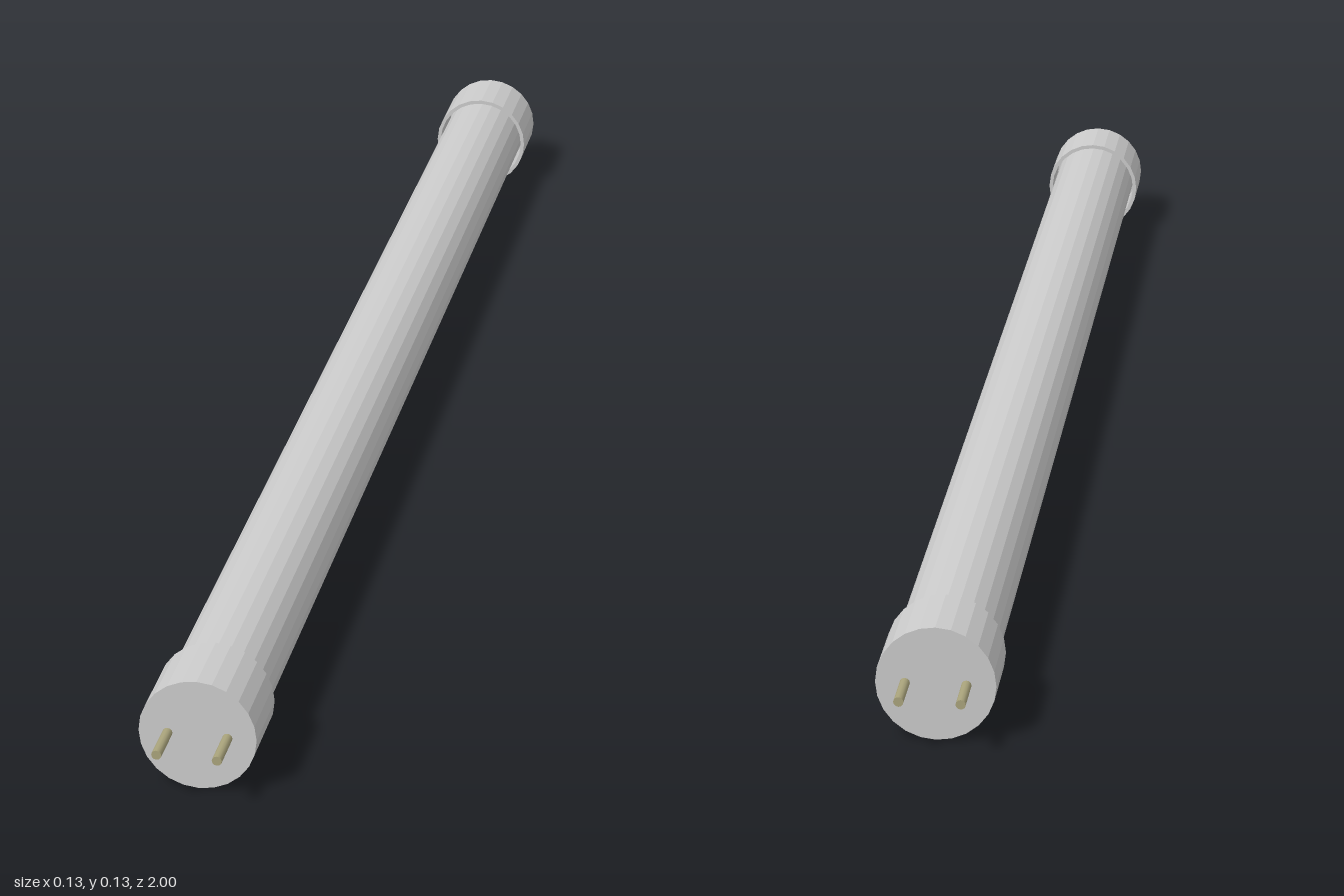
import * as THREE from 'three';

const SIDES = 24, AXIS_Y = 0.065;
const grey = new THREE.MeshStandardMaterial({ color: 0xcccccc, flatShading: true });
const brass = new THREE.MeshStandardMaterial({ color: 0xaaa47c });

function addMesh(parent, name, geometry, material) {
  const mesh = new THREE.Mesh(geometry, material);
  mesh.name = name;
  parent.add(mesh);
  return mesh;
}

// Hollow cap sleeve with a closed outer end and two contact pins, facing +z
function createEnd(name) {
  const end = new THREE.Group();
  end.name = name;
  const profile = [
    [0, 0.94], [0.06, 0.94], [0.06, 0.86], [0.065, 0.86], [0.065, 0.95], [0, 0.95],
  ].map(([r, h]) => new THREE.Vector2(r, h));
  addMesh(end, 'endCap', new THREE.LatheGeometry(profile, SIDES).rotateX(Math.PI / 2), grey);
  for (const side of [-1, 1]) {
    const pin = new THREE.CylinderGeometry(0.0055, 0.0055, 0.055, 12).rotateX(Math.PI / 2);
    addMesh(end, side > 0 ? 'leftPin' : 'rightPin', pin, brass).position.set(side * 0.033, 0, 0.9725);
  }
  return end;
}

export function createModel() {
  const model = new THREE.Group();
  model.name = 'tubeLamp';

  // Long tube, its ends tucked into the caps
  const tube = new THREE.CylinderGeometry(0.056, 0.056, 1.87, SIDES).rotateX(Math.PI / 2);
  addMesh(model, 'tube', tube, grey);

  // Matching ends at front and back
  const backEnd = createEnd('backEnd');
  backEnd.rotation.y = Math.PI;
  model.add(createEnd('frontEnd'), backEnd);

  for (const part of model.children) part.position.y = AXIS_Y;
  return model;
}
